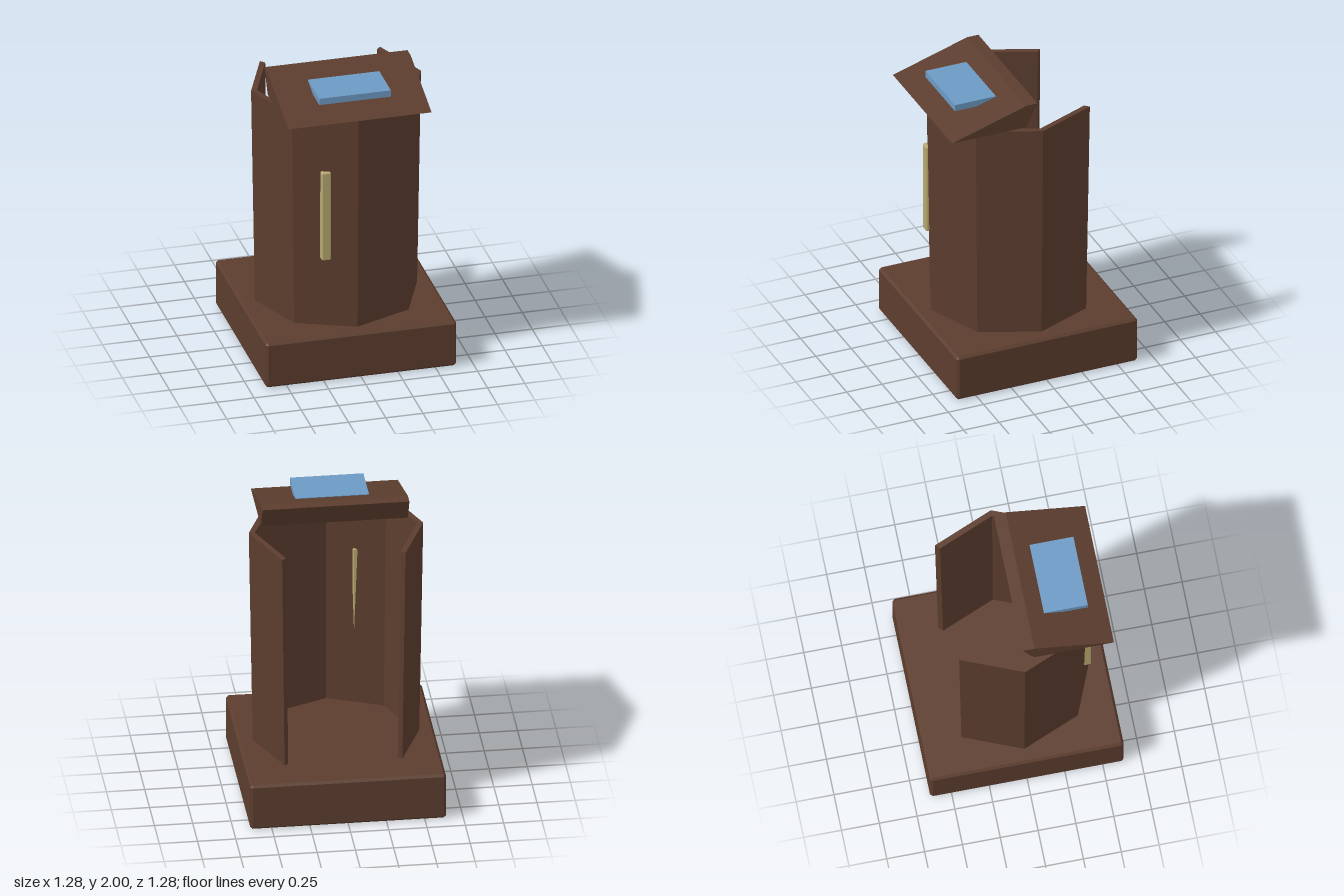
import * as THREE from 'three';
import { ConvexGeometry } from 'three/addons/geometries/ConvexGeometry.js';

function material(name, color) {
  const m = new THREE.MeshStandardMaterial({ color });
  m.name = name;
  return m;
}

// Box with every edge cut off at 45 degrees
function chamferedBox(w, h, d, c) {
  const points = [];
  for (const x of [-1, 1]) for (const y of [-1, 1]) for (const z of [-1, 1]) {
    for (const [a, b, e] of [[0, c, c], [c, 0, c], [c, c, 0]]) {
      points.push(new THREE.Vector3(x * (w / 2 - a), y * (h / 2 - b), z * (d / 2 - e)));
    }
  }
  return new ConvexGeometry(points);
}

export function createModel() {
  const group = new THREE.Group();
  const wood = material('dark wood', 0x5c3d2e);
  const brass = material('pale brass', 0xb8a870);
  const blue = material('blue cover', 0x6c9ac4);

  const add = (name, geometry, mat, x = 0, y = 0, z = 0) => {
    const mesh = new THREE.Mesh(geometry, mat);
    mesh.name = name;
    mesh.position.set(x, y, z);
    group.add(mesh);
  };

  // Square plinth
  add('base', chamferedBox(1.28, 0.32, 1.28, 0.016), wood, 0, 0.16, 0);

  // Six sides of an octagonal shell, open at the back, wider at the top
  const arc = (radius) => Array.from({ length: 7 }, (_, i) => {
    const a = (i - 3) * Math.PI / 4;
    return new THREE.Vector2(radius * Math.sin(a), -radius * Math.cos(a));
  });
  const outline = new THREE.Shape([...arc(0.57), ...arc(0.53).reverse()]);
  const bottom = 0.32, height = 1.52;
  const shell = new THREE.ExtrudeGeometry(outline, { depth: height, bevelEnabled: false });
  shell.rotateX(-Math.PI / 2);
  const p = shell.attributes.position;
  for (let i = 0; i < p.count; i++) {
    const s = THREE.MathUtils.lerp(0.955, 1, p.getY(i) / height);
    p.setXYZ(i, p.getX(i) * s, p.getY(i), p.getZ(i) * s);
  }
  shell.computeVertexNormals();
  add('bodyShell', shell, wood, 0, bottom, 0);

  // Sloping reading desk: side profile drawn as (-z, y), then turned to run along x
  const profile = new THREE.Shape([
    [-0.605, 1.84], [-0.08, 1.84], [0, 2], [-0.08, 2],
  ].map(([u, v]) => new THREE.Vector2(u, v)));
  const desk = new THREE.ExtrudeGeometry(profile, { depth: 0.96, bevelEnabled: false });
  desk.translate(0, 0, -0.48);
  desk.rotateY(Math.PI / 2);
  add('slopingDesk', desk, wood);

  // Level book sunk into the slope
  add('book', new THREE.BoxGeometry(0.48, 0.045, 0.29), blue, 0, 1.9475, 0.335);

  // Upright bar on the front panel
  add('frontBar', chamferedBox(0.064, 0.635, 0.064, 0.008), brass, -0.198, 1.1225, 0.474);

  return group;
}
